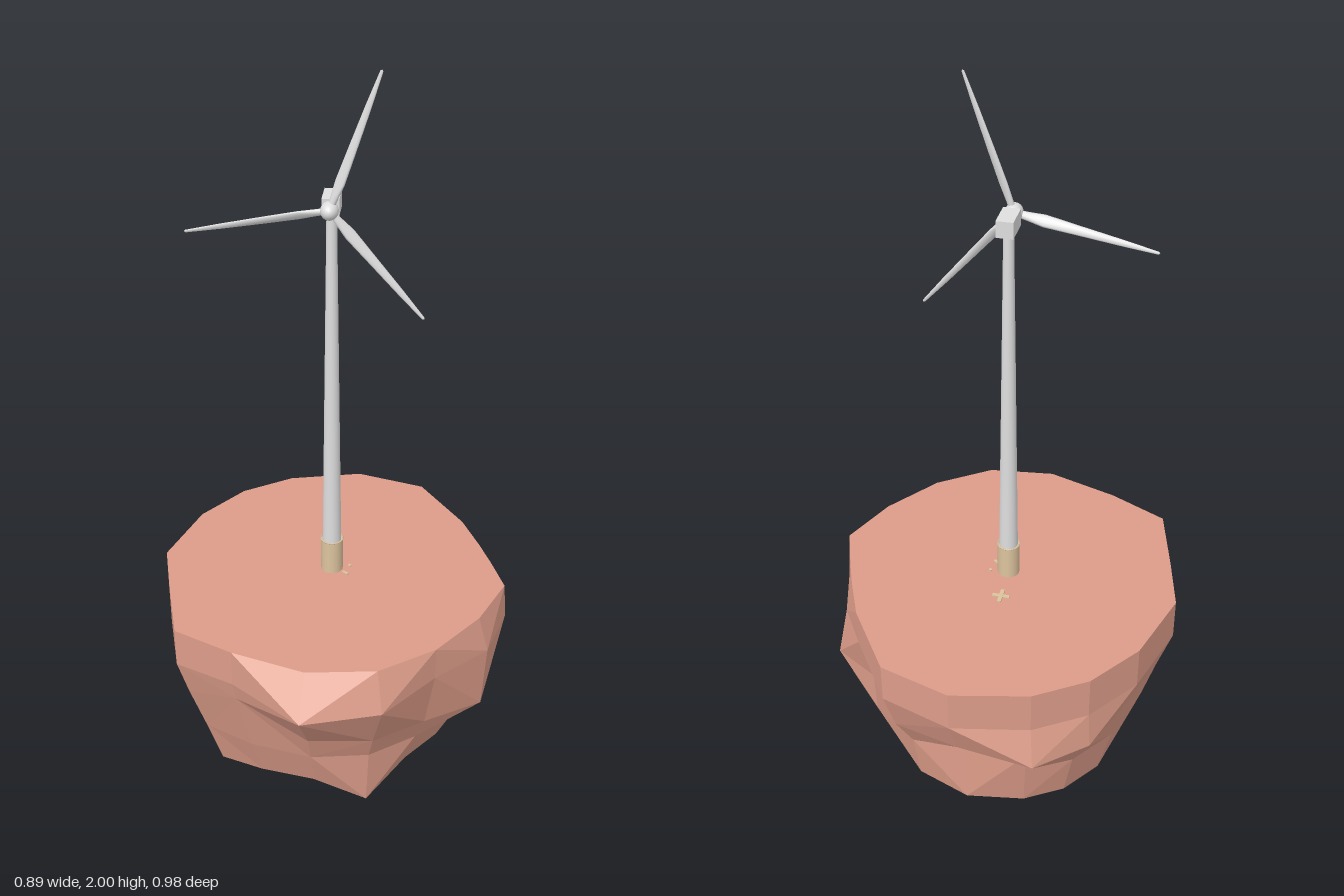
import * as THREE from 'three';
import { mergeVertices } from 'three/addons/utils/BufferGeometryUtils.js';

const rad = THREE.MathUtils.degToRad;
const TOP = 0.69;

// Skin a stack of closed rings, listed from top to bottom, splitting each quad along its outer diagonal
function loft(rings) {
  const out = [];
  const n = rings[0].length;
  const tri = (a, b, c) => {
    const area = b.clone().sub(a).cross(c.clone().sub(a)).length();
    if (area > 1e-9) for (const p of [a, b, c]) out.push(p.x, p.y, p.z);
  };
  const reach = (p, q) => Math.hypot(p.x + q.x, p.z + q.z);
  for (let i = 0; i < rings.length - 1; i++) {
    for (let j = 0; j < n; j++) {
      const k = (j + 1) % n;
      const a = rings[i][j], b = rings[i][k], c = rings[i + 1][j], d = rings[i + 1][k];
      if (reach(b, c) > reach(a, d)) { tri(a, b, c); tri(b, d, c); } else { tri(a, b, d); tri(a, d, c); }
    }
  }
  const geo = new THREE.BufferGeometry();
  geo.setAttribute('position', new THREE.Float32BufferAttribute(out, 3));
  geo.computeVertexNormals();
  return geo;
}

// Floating rock: the rim outline shrinks downwards, with bulges, hollows and spikes
function rockGeometry() {
  const angles = [2, 23, 47, 70, 94, 121, 142, 166, 186, 212, 232, 250, 273, 295, 320, 336, 347];
  const rim = [.438, .408, .403, .414, .412, .412, .459, .422, .448, .454, .47, .481, .496, .488, .423, .406, .41];
  const layers = [
    { scale: 1, y: TOP, tilt: 0 },
    { scale: 1, y: 0.59, tilt: 0.01 },
    { scale: 0.92, y: 0.46, tilt: -0.01 },
    { scale: 0.84, y: 0.36, tilt: 0.01 },
    { scale: 0.75, y: 0.235, tilt: 0.03 },
    { scale: 0.43, y: 0.145, tilt: 0.03 },
    { scale: 0.22, y: 0.105, tilt: 0.035 },
  ];
  // Layer, column, radius, height
  const bulges = [
    [1, 0, .445, .6], [1, 1, .435, .6], [1, 3, .454, .59], [1, 4, .49, .595], [1, 15, .425, .6],
    [2, 1, .425, .43], [2, 5, .4, .54], [2, 6, .43, .49], [2, 10, .48, .48], [2, 11, .514, .48],
    [2, 12, .45, .47], [2, 15, .452, .46], [2, 16, .43, .43],
    [3, 5, .35, .36], [3, 11, .4, .4], [3, 12, .37, .38], [3, 13, .39, .36], [3, 14, .385, .34],
    [4, 3, .33, .21], [4, 8, .29, .18], [4, 16, .27, .21],
    [5, 0, .21, .18], [5, 15, .23, .17], [5, 16, .247, .1], [6, 16, .1, .155],
  ];
  const point = (deg, r, y) => new THREE.Vector3(Math.cos(rad(deg)) * r, y, Math.sin(rad(deg)) * r);
  const rings = layers.map(({ scale, y, tilt }) => angles.map((deg, j) => (
    point(deg, rim[j] * scale, y + tilt * (Math.cos(rad(deg)) + Math.sin(rad(deg))))
  )));
  for (const [i, j, r, y] of bulges) rings[i][j] = point(angles[j], r, y);
  rings.unshift(angles.map(() => new THREE.Vector3(0, TOP, 0)));
  rings.push(angles.map(() => new THREE.Vector3(-0.02, 0, 0.03)));
  return loft(rings);
}

// Twisted blade along +y: distance, chord, thickness, twist in degrees
function bladeGeometry() {
  const sections = [
    [.335, 0, 0, 0], [.332, .007, .003, 10], [.25, .015, .006, 18], [.15, .022, .009, 28],
    [.07, .029, .011, 38], [.035, .021, .014, 40], [0, .015, .015, 40],
  ];
  const rings = sections.map(([y, chord, thick, twist]) => Array.from({ length: 10 }, (_, j) => {
    const t = (j / 10) * Math.PI * 2;
    const p = new THREE.Vector3(Math.cos(t) * chord / 2, y, Math.sin(t) * thick / 2);
    return p.applyAxisAngle(new THREE.Vector3(0, 1, 0), -rad(twist));
  }));
  const geo = loft(rings);
  geo.deleteAttribute('normal');
  const smooth = mergeVertices(geo, 1e-5);
  smooth.computeVertexNormals();
  return smooth;
}

export function createModel() {
  const model = new THREE.Group();
  model.name = 'windTurbineOnRock';
  const rock = new THREE.MeshStandardMaterial({ name: 'clay rock', color: 0xdc9c89, flatShading: true });
  const white = new THREE.MeshStandardMaterial({ name: 'pale grey paint', color: 0xdedede });
  const tan = new THREE.MeshStandardMaterial({ name: 'tan', color: 0xdcc39e });

  const add = (parent, name, geo, mat, x = 0, y = 0, z = 0) => {
    const mesh = new THREE.Mesh(geo, mat);
    mesh.name = name;
    mesh.position.set(x, y, z);
    parent.add(mesh);
    return mesh;
  };

  add(model, 'floatingRock', rockGeometry(), rock);

  // Tower with its foundation sleeve and rail
  const turbine = new THREE.Group();
  turbine.name = 'turbine';
  turbine.position.set(-0.007, 0, -0.024);
  model.add(turbine);
  add(turbine, 'tower', new THREE.CylinderGeometry(0.012, 0.025, 0.98, 24), white, 0, TOP + 0.49);
  add(turbine, 'foundationSleeve', new THREE.CylinderGeometry(0.028, 0.028, 0.09, 24), tan, 0, TOP + 0.045);
  const rail = add(turbine, 'sleeveRail', new THREE.TorusGeometry(0.028, 0.0015, 6, 24), tan, 0, TOP + 0.091);
  rail.rotation.x = Math.PI / 2;

  // Nacelle and rotor
  add(turbine, 'nacelle', new THREE.BoxGeometry(0.04, 0.04, 0.07), white, 0, 1.683, -0.004);
  const rotor = new THREE.Group();
  rotor.name = 'rotor';
  rotor.position.set(0, 1.683, 0.05);
  turbine.add(rotor);
  add(rotor, 'hub', new THREE.SphereGeometry(0.021, 20, 14), white).scale.z = 1.3;
  const blade = bladeGeometry();
  for (const deg of [-19.5, 100.5, 220.5]) {
    add(rotor, 'blade', blade, white).rotation.z = rad(deg);
  }

  // Small crossed planks and chips lying on the ground
  const planks = new THREE.Group();
  planks.name = 'groundPlanks';
  planks.position.set(-0.012, TOP + 0.002, -0.127);
  model.add(planks);
  add(planks, 'longPlank', new THREE.BoxGeometry(0.01, 0.004, 0.046), tan);
  add(planks, 'crossPlank', new THREE.BoxGeometry(0.044, 0.003, 0.01), tan);
  for (const [x, z, size] of [[0.03, 0, 0.018], [0.038, -0.034, 0.008]]) {
    add(model, 'groundChip', new THREE.BoxGeometry(size, 0.003, 0.007), tan, x, TOP + 0.0015, z).rotation.y = -0.6;
  }

  return model;
}
